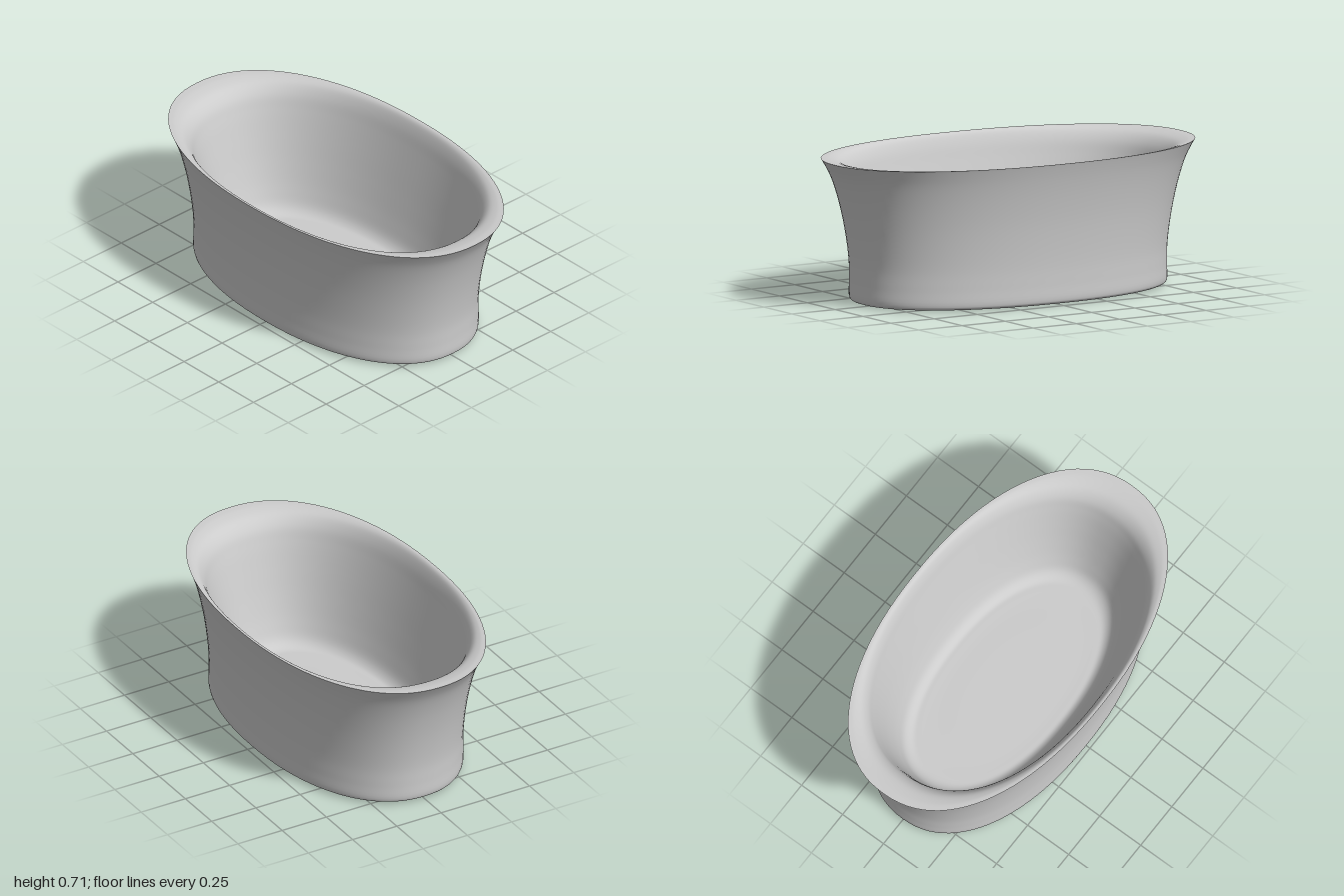
import * as THREE from 'three';

const SEGMENTS = 96;
const material = new THREE.MeshStandardMaterial({ color: 0xcccccc });

// Point on a slightly squared oval with half-axes a (x) and b (z).
function ovalPoint(a, b, t) {
  const power = 2 / 2.2;
  const c = Math.cos(t), s = Math.sin(t);
  return [a * Math.sign(c) * Math.abs(c) ** power, b * Math.sign(s) * Math.abs(s) ** power];
}

// Skin a smooth surface through oval rings given as [half length, height, half width].
function loft(name, rings, steps) {
  const curve = new THREE.CatmullRomCurve3(rings.map(r => new THREE.Vector3(...r)));
  const sections = curve.getPoints(steps * (rings.length - 1));
  const positions = [], index = [];
  sections.forEach((r, j) => {
    for (let i = 0; i < SEGMENTS; i++) {
      const [x, z] = ovalPoint(r.x, r.z, (i / SEGMENTS) * Math.PI * 2);
      positions.push(x, r.y, z);
      if (j === sections.length - 1) continue;
      const p = j * SEGMENTS + i, q = j * SEGMENTS + (i + 1) % SEGMENTS;
      index.push(p, p + SEGMENTS, q, q, p + SEGMENTS, q + SEGMENTS);
    }
  });
  const geometry = new THREE.BufferGeometry();
  geometry.setAttribute('position', new THREE.Float32BufferAttribute(positions, 3));
  geometry.setIndex(index);
  geometry.computeVertexNormals();
  const mesh = new THREE.Mesh(geometry, material);
  mesh.name = name;
  return mesh;
}

export function createModel() {
  const tub = new THREE.Group();
  tub.name = 'bathtub';

  // Underside, tight rounded foot and flared outer wall
  tub.add(loft('outerShell', [
    [0.001, 0, 0.001], [0.5, 0.003, 0.28], [0.8, 0.006, 0.45], [0.835, 0.009, 0.471],
    [0.848, 0.022, 0.482], [0.849, 0.1, 0.483], [0.85, 0.19, 0.484], [0.863, 0.3, 0.491],
    [0.886, 0.42, 0.504], [0.918, 0.54, 0.524], [0.954, 0.635, 0.545], [0.994, 0.702, 0.564],
    [1, 0.71, 0.567],
  ], 5));

  // Nearly flat lip, steep inner wall and floor with a small fillet
  tub.add(loft('innerBasin', [
    [1, 0.71, 0.567], [0.95, 0.706, 0.552], [0.89, 0.688, 0.538], [0.845, 0.645, 0.521],
    [0.815, 0.575, 0.502], [0.775, 0.45, 0.467], [0.735, 0.32, 0.43], [0.69, 0.19, 0.39],
    [0.655, 0.115, 0.36], [0.615, 0.085, 0.33], [0.55, 0.08, 0.29], [0.3, 0.08, 0.16],
    [0.001, 0.08, 0.001],
  ], 6));

  return tub;
}
